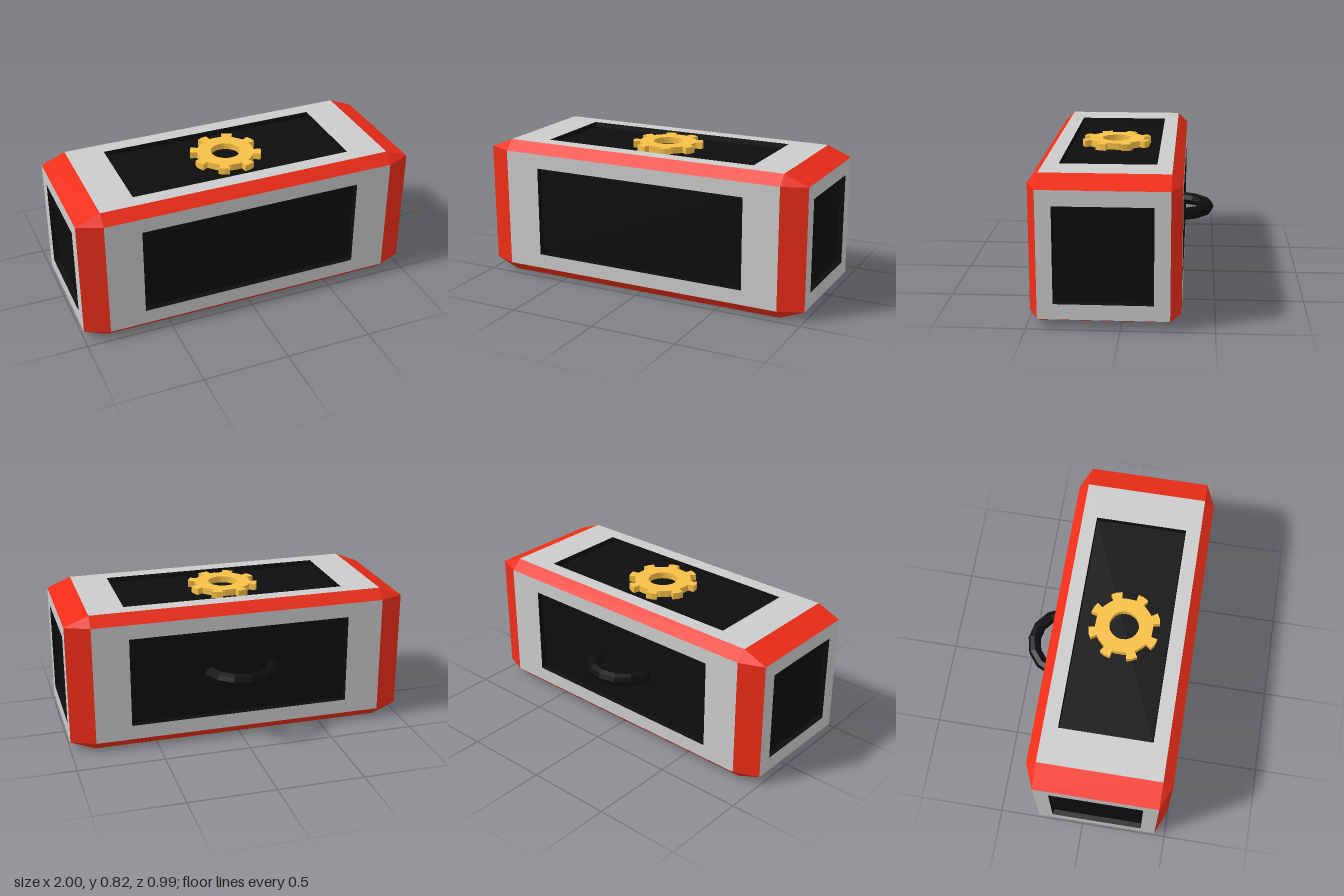
import * as THREE from 'three';

const mat = (color) => new THREE.MeshStandardMaterial({ color, flatShading: true });
const grey = mat(0xcccccc), red = mat(0xf02d18), black = mat(0x0d0d0d), gold = mat(0xf8c046);

// Half sizes of the crate, and where its chamfers begin
const H = [1, 0.4075, 0.4075];
const I = [0.86, 0.35, 0.35];
const RECESS = 0.03;

function mesh(name, geometry, material) {
  const m = new THREE.Mesh(geometry, material);
  m.name = name;
  return m;
}

// Flat-shaded geometry from convex polygons
function fromPolygons(polygons) {
  const points = [];
  for (const p of polygons)
    for (let i = 1; i < p.length - 1; i++) points.push(p[0], p[i], p[i + 1]);
  const g = new THREE.BufferGeometry().setFromPoints(points);
  g.computeVertexNormals();
  return g;
}

const rect = (w, h, z) =>
  [[-w, -h], [w, -h], [w, h], [-w, h]].map(([x, y]) => new THREE.Vector3(x, y, z));

const bridge = (a, b) => a.map((p, i) => [p, a[(i + 1) % 4], b[(i + 1) % 4], b[i]]);

// One side of the crate: flat frame around a shallow recessed panel, facing +z
function createSide(name, w, h, panelW, panelH, distance) {
  const side = new THREE.Group();
  side.name = name;
  const outer = rect(w, h, distance);
  const rim = rect(panelW, panelH, distance);
  const floor = rect(panelW - 0.004, panelH - 0.004, distance - RECESS);
  side.add(
    mesh('frame', fromPolygons(bridge(outer, rim)), grey),
    mesh('recessedPanel', fromPolygons([...bridge(rim, floor), floor]), black)
  );
  return side;
}

// Chamfered edges and corner triangles
function createTrim() {
  const polygons = [];
  // Corner of the face normal to an axis, in the octant given by signs
  const corner = (axis, s) =>
    new THREE.Vector3(...s.map((sign, k) => sign * (k === axis ? H[k] : I[k])));
  const add = (...p) => {
    const n = p[1].clone().sub(p[0]).cross(p[2].clone().sub(p[0]));
    polygons.push(n.dot(p[0]) < 0 ? p.reverse() : p);
  };
  for (const a of [-1, 1])
    for (const b of [-1, 1]) {
      for (let axis = 0; axis < 3; axis++) {
        const j = (axis + 1) % 3, k = (axis + 2) % 3;
        const s0 = [], s1 = [];
        s0[axis] = -1; s1[axis] = 1;
        s0[j] = s1[j] = a;
        s0[k] = s1[k] = b;
        add(corner(j, s0), corner(j, s1), corner(k, s1), corner(k, s0));
      }
      for (const c of [-1, 1])
        add(...[0, 1, 2].map((axis) => corner(axis, [a, b, c])));
    }
  return mesh('chamferedTrim', fromPolygons(polygons), red);
}

// Eight-toothed gear with a round hole, lying flat
function createGear() {
  const teeth = 8, shape = new THREE.Shape();
  const pts = [];
  for (let i = 0; i < teeth; i++) {
    const mid = ((i + 0.5) / teeth) * Math.PI * 2 - 0.03;
    for (const [da, r] of [[-0.24, 0.165], [-0.15, 0.165], [-0.16, 0.204],
      [0, 0.206], [0.16, 0.204], [0.15, 0.165], [0.24, 0.165]])
      pts.push(new THREE.Vector2(r * Math.cos(mid + da), r * Math.sin(mid + da)));
  }
  shape.setFromPoints(pts);
  shape.holes.push(new THREE.Path().absarc(0, 0, 0.085, 0, Math.PI * 2, true));
  const g = new THREE.ExtrudeGeometry(shape, { depth: 0.042, bevelEnabled: false, curveSegments: 12 });
  g.rotateX(-Math.PI / 2);
  const gear = mesh('gear', g, gold);
  gear.position.y = H[1] - RECESS - 0.004;
  return gear;
}

// Curved grab handle whose ends run into the back panel
function createHandle() {
  const step = (Math.PI * 2) / 14;
  const g = new THREE.TorusGeometry(0.19, 0.0375, 8, 8, step * 8);
  g.rotateZ(Math.PI / 2 - step * 4);
  g.rotateX(-Math.PI / 2);
  const handle = mesh('handle', g, black);
  handle.position.set(-0.01, 0, -0.352);
  return handle;
}

export function createModel() {
  const model = new THREE.Group();
  model.name = 'crate';
  const q = Math.PI / 2;
  // name, rotation about x, rotation about y
  for (const [name, rx, ry] of [['frontSide', 0, 0], ['backSide', 0, Math.PI],
    ['topSide', -q, 0], ['bottomSide', q, 0], ['leftSide', 0, q], ['rightSide', 0, -q]]) {
    const end = Math.abs(ry) === q;
    const side = createSide(name, end ? I[2] : I[0], I[1], end ? 0.265 : 0.65, 0.265, end ? H[0] : H[2]);
    side.rotation.set(rx, ry, 0);
    model.add(side);
  }
  model.add(createTrim(), createGear(), createHandle());
  for (const part of model.children) {
    part.position.y += H[1];
    part.position.z += 0.0875;
  }
  return model;
}
